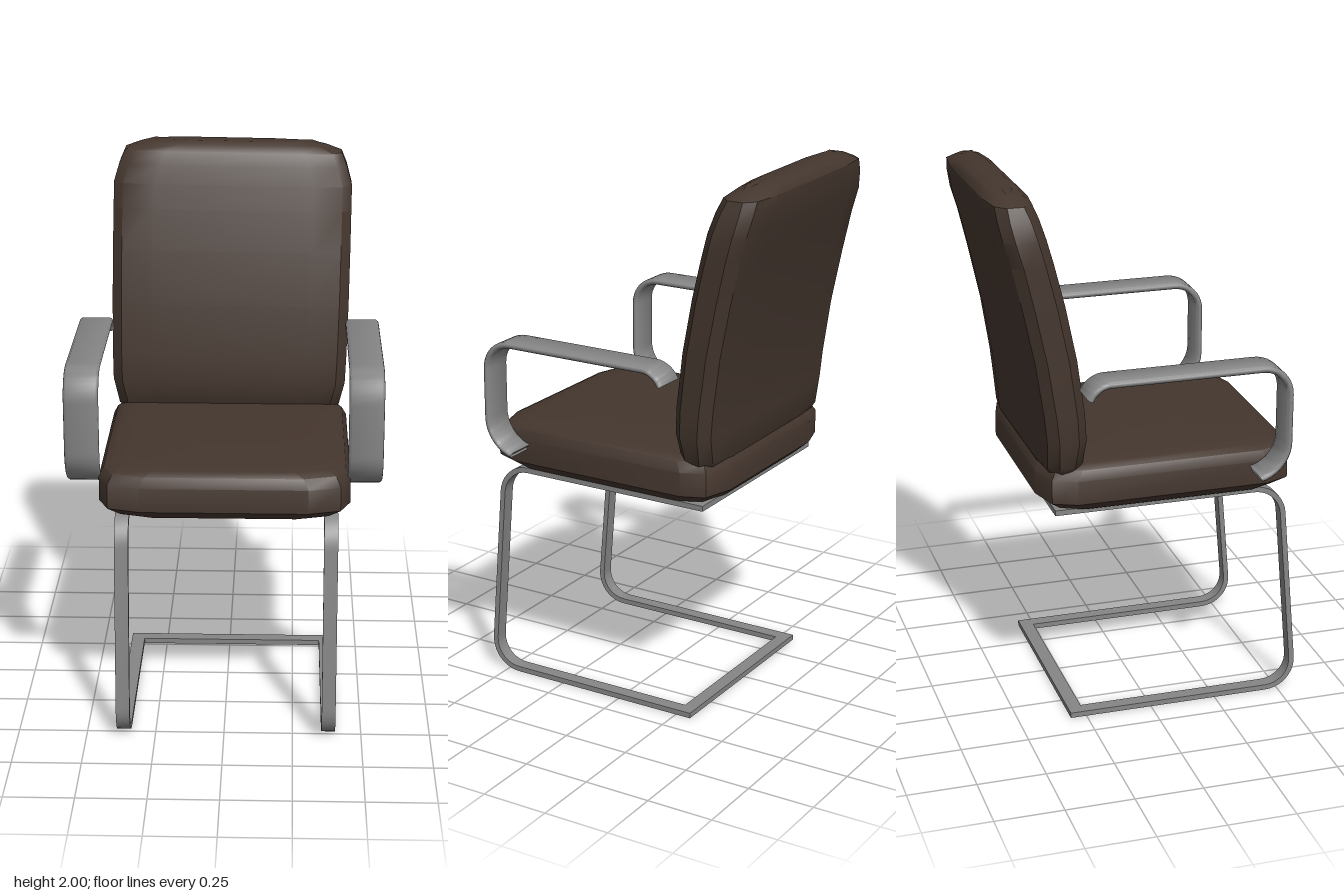
import * as THREE from 'three';
import { toCreasedNormals } from 'three/addons/utils/BufferGeometryUtils.js';

// Skin a stack of equal-sized rings (counter-clockwise about the stacking direction), with end caps
function loft(rings, crease) {
  const n = rings[0].length, pos = [], idx = [];
  const add = (p) => pos.push(p.x, p.y, p.z) / 3 - 1;
  rings.forEach((ring) => ring.forEach(add));
  for (let i = 0; i < rings.length - 1; i++) {
    for (let j = 0; j < n; j++) {
      const a = i * n + j, b = i * n + (j + 1) % n;
      idx.push(a, b, b + n, a, b + n, a + n);
    }
  }
  [0, rings.length - 1].forEach((r) => {
    const mid = new THREE.Vector3();
    rings[r].forEach((p) => mid.addScaledVector(p, 1 / n));
    const c = add(mid);
    for (let j = 0; j < n; j++) {
      const a = r * n + j, b = r * n + (j + 1) % n;
      idx.push(c, ...(r ? [a, b] : [b, a]));
    }
  });
  const g = new THREE.BufferGeometry();
  g.setAttribute('position', new THREE.Float32BufferAttribute(pos, 3));
  g.setIndex(idx);
  return toCreasedNormals(g, crease);
}

// Cushion from levels [y, halfWidth, zFront, zBack]; corners are cut by cx across and cz deep
function cushion(levels, cx, cz) {
  const rings = levels.map(([y, w, f, b]) => {
    const quarter = [[w - cx, 0], [w - cx * 0.24, cz * 0.28], [w, cz]];
    const front = quarter.map(([x, d]) => [x, f - d]);
    const back = quarter.map(([x, d]) => [x, b + d]).reverse();
    const right = [...front, ...back];
    const left = right.map(([x, z]) => [-x, z]).reverse();
    return [...right, ...left].map(([x, z]) => new THREE.Vector3(x, y, z));
  });
  return loft(rings, 0.65);
}

// Path in the z-y plane through points [z, y, cornerRadius]
function roundedPath(pts) {
  const v = pts.map(([z, y]) => new THREE.Vector3(0, y, z));
  const out = [v[0]];
  for (let i = 1; i < v.length - 1; i++) {
    const r = pts[i][2];
    const toward = (q) => v[i].clone().add(q.clone().sub(v[i]).setLength(r));
    const p = toward(v[i - 1]), q = toward(v[i + 1]);
    // cubic handles approximate a circular arc
    const arc = new THREE.CubicBezierCurve3(p, p.clone().lerp(v[i], 0.56), q.clone().lerp(v[i], 0.56), q);
    out.push(...arc.getPoints(10));
  }
  out.push(v[v.length - 1]);
  return out;
}

// Sweep a flat strip section [u, v] along a path, u running across in x
function strip(path, section, crease) {
  const X = new THREE.Vector3(1, 0, 0);
  const rings = path.map((p, i) => {
    const t = path[Math.min(i + 1, path.length - 1)].clone().sub(path[Math.max(i - 1, 0)]).normalize();
    const n = t.cross(X);
    return section.map(([u, v]) => p.clone().addScaledVector(X, u).addScaledVector(n, v));
  });
  return loft(rings, crease);
}

export function createModel() {
  const upholstery = new THREE.MeshStandardMaterial({ color: 0x44362e });
  upholstery.name = 'brown upholstery';
  const metal = new THREE.MeshStandardMaterial({ color: 0x868686 });
  metal.name = 'grey metal';

  const model = new THREE.Group();
  model.name = 'chair';
  const add = (name, geometry, material, x = 0, y = 0, z = 0) => {
    const mesh = new THREE.Mesh(geometry, material);
    mesh.name = name;
    mesh.position.set(x, y, z);
    model.add(mesh);
    return mesh;
  };

  // Seat cushion
  add('seat', cushion([
    [0.84, 0.405, 0.495, -0.37],
    [0.877, 0.447, 0.54, -0.41],
    [0.965, 0.447, 0.54, -0.41],
    [1.0, 0.43, 0.52, -0.39],
    [1.014, 0.40, 0.49, -0.36],
    [1.02, 0.34, 0.43, -0.30],
  ], 0.15, 0.12), upholstery);

  // Curved, reclined back cushion, very slightly tilted sideways
  const back = cushion([
    [0.97, 0.40, -0.27, -0.385],
    [1.0, 0.42, -0.245, -0.40],
    [1.1, 0.443, -0.235, -0.405],
    [1.2, 0.446, -0.241, -0.415],
    [1.4, 0.449, -0.268, -0.445],
    [1.6, 0.45, -0.308, -0.487],
    [1.75, 0.45, -0.345, -0.522],
    [1.84, 0.45, -0.37, -0.548],
    [1.91, 0.43, -0.39, -0.562],
    [1.957, 0.41, -0.408, -0.566],
    [1.982, 0.35, -0.432, -0.55],
    [1.994, 0.30, -0.455, -0.52],
  ], 0.15, 0.05);
  back.translate(0, -1.5, 0).rotateZ(-0.014);
  add('backrest', back, upholstery, 0.002, 1.5, 0);

  // Cantilever legs: flat bars bent into a C
  const legPath = roundedPath([
    [-0.31, 0.01], [0.565, 0.01, 0.115], [0.495, 0.83, 0.105], [-0.36, 0.83],
  ]);
  const bar = [[-0.025, -0.01], [0.025, -0.01], [0.025, 0.01], [-0.025, 0.01]];
  const legs = strip(legPath, bar, 0.5);
  add('leftLeg', legs, metal, 0.38);
  add('rightLeg', legs, metal, -0.365);

  // Rear cross bars joining the legs at floor and under the seat
  const crossBar = new THREE.BoxGeometry(0.70, 0.02, 0.05);
  add('floorCrossBar', crossBar, metal, 0.0075, 0.01, -0.285);
  add('seatCrossBar', crossBar, metal, 0.0075, 0.83, -0.335);

  // Armrests: wide bands with softened edges
  const armPath = roundedPath([
    [-0.275, 1.305], [-0.245, 1.356, 0.045], [0.455, 1.356, 0.105],
    [0.455, 0.965, 0.105], [0.365, 0.945],
  ]);
  const half = [[-0.052, -0.012], [0.052, -0.012], [0.06, -0.006]];
  const band = [...half, [0.062, 0], ...half.map(([u, v]) => [u, -v]).reverse(), [-0.06, 0.006], [-0.062, 0], [-0.06, -0.006]];
  const arm = strip(armPath, band, 0.9);
  add('leftArmrest', arm, metal, 0.498);
  add('rightArmrest', arm, metal, -0.502);

  return model;
}
